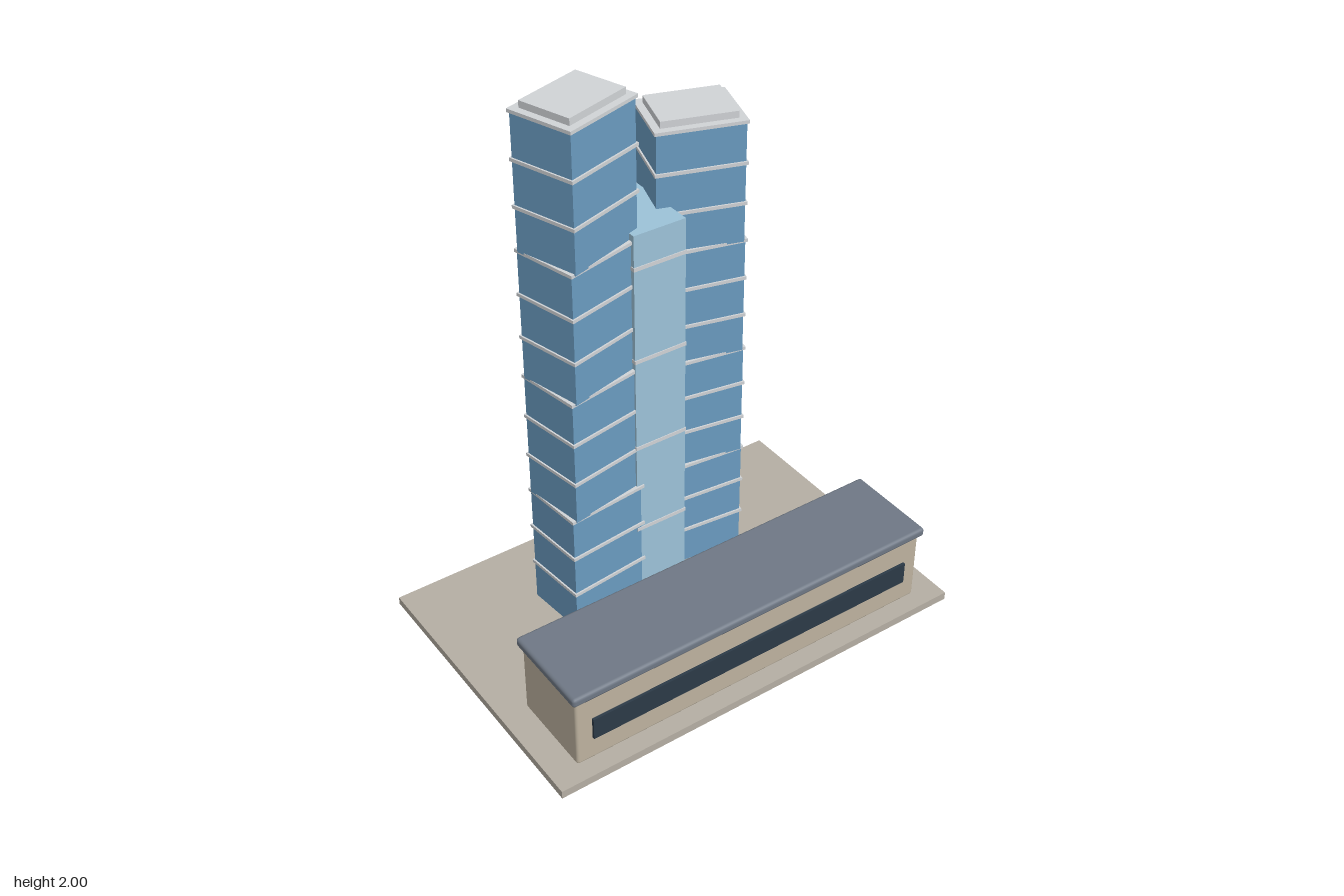
import * as THREE from 'three';
import { RoundedBoxGeometry } from 'three/addons/geometries/RoundedBoxGeometry.js';

const paint = (color) => new THREE.MeshStandardMaterial({ color });
const stone = paint(0xb5aea3);
const wall = paint(0xbdb29f);
const slate = paint(0x6f7885);
const darkGlass = paint(0x2c3a47);
const glass = paint(0x6a9bc0);
const paleGlass = paint(0x9cc2d8);
const trim = paint(0xd0d3d6);

const GROUND = 0.03;

// Box given by its size and the height of its underside; radius rounds the edges
function block(parent, name, material, [w, h, d], [x, y, z], radius = 0) {
  const geometry = radius
    ? new RoundedBoxGeometry(w, h, d, 2, radius)
    : new THREE.BoxGeometry(w, h, d);
  const mesh = new THREE.Mesh(geometry, material);
  mesh.name = name;
  mesh.position.set(x, y + h / 2, z);
  parent.add(mesh);
  return mesh;
}

// Four glass stages, each turned a little further, with three floor bands per stage
function tower(name, x, z, top, turn) {
  const group = new THREE.Group();
  group.name = name;
  group.position.set(x, 0, z);
  const stages = 4, bands = 3, w = 0.3, d = 0.235;
  const stageHeight = (top - GROUND) / stages;
  for (let i = 0; i < stages; i++) {
    const stage = new THREE.Group();
    stage.name = `stage${i + 1}`;
    stage.position.y = GROUND + i * stageHeight;
    stage.rotation.y = turn * (0.1 + 0.07 * i);
    block(stage, 'glassWalls', glass, [w, stageHeight, d], [0, 0, 0]);
    for (let k = 1; k <= bands; k++) {
      const y = (k * stageHeight) / bands;
      block(stage, 'floorBand', trim, [w + 0.012, 0.012, d + 0.012], [0, y - 0.006, 0]);
    }
    // Raised roof cap on the last stage
    if (i === stages - 1) {
      block(stage, 'roofCap', trim, [0.26, 0.03, 0.195], [0, stageHeight, 0]);
    }
    group.add(stage);
  }
  return group;
}

export function createModel() {
  const model = new THREE.Group();
  model.name = 'towerComplex';

  block(model, 'groundSlab', stone, [1.62, GROUND, 1.1], [0, 0, 0]);

  // Low front building
  const podium = new THREE.Group();
  podium.name = 'podium';
  block(podium, 'podiumWalls', wall, [1.42, 0.28, 0.32], [0, GROUND, 0.325], 0.01);
  block(podium, 'podiumRoof', slate, [1.45, 0.035, 0.35], [0, 0.303, 0.325], 0.012);
  block(podium, 'windowStrip', darkGlass, [1.3, 0.085, 0.02], [0, 0.123, 0.485]);
  model.add(podium);

  // Twin towers turning in opposite directions
  model.add(tower('rightTower', -0.235, -0.178, 1.97, 1));
  model.add(tower('leftTower', 0.238, -0.241, 1.78, -1));

  // Linking core between the towers
  const core = new THREE.Group();
  core.name = 'core';
  const cx = 0.005, cz = -0.213;
  block(core, 'coreWalls', paleGlass, [0.2, 1.485, 0.275], [cx, GROUND, cz]);
  for (let i = 0; i < 4; i++) {
    block(core, 'coreBand', trim, [0.204, 0.014, 0.281], [cx, 0.323 + i * 0.354, cz]);
  }
  model.add(core);

  return model;
}
